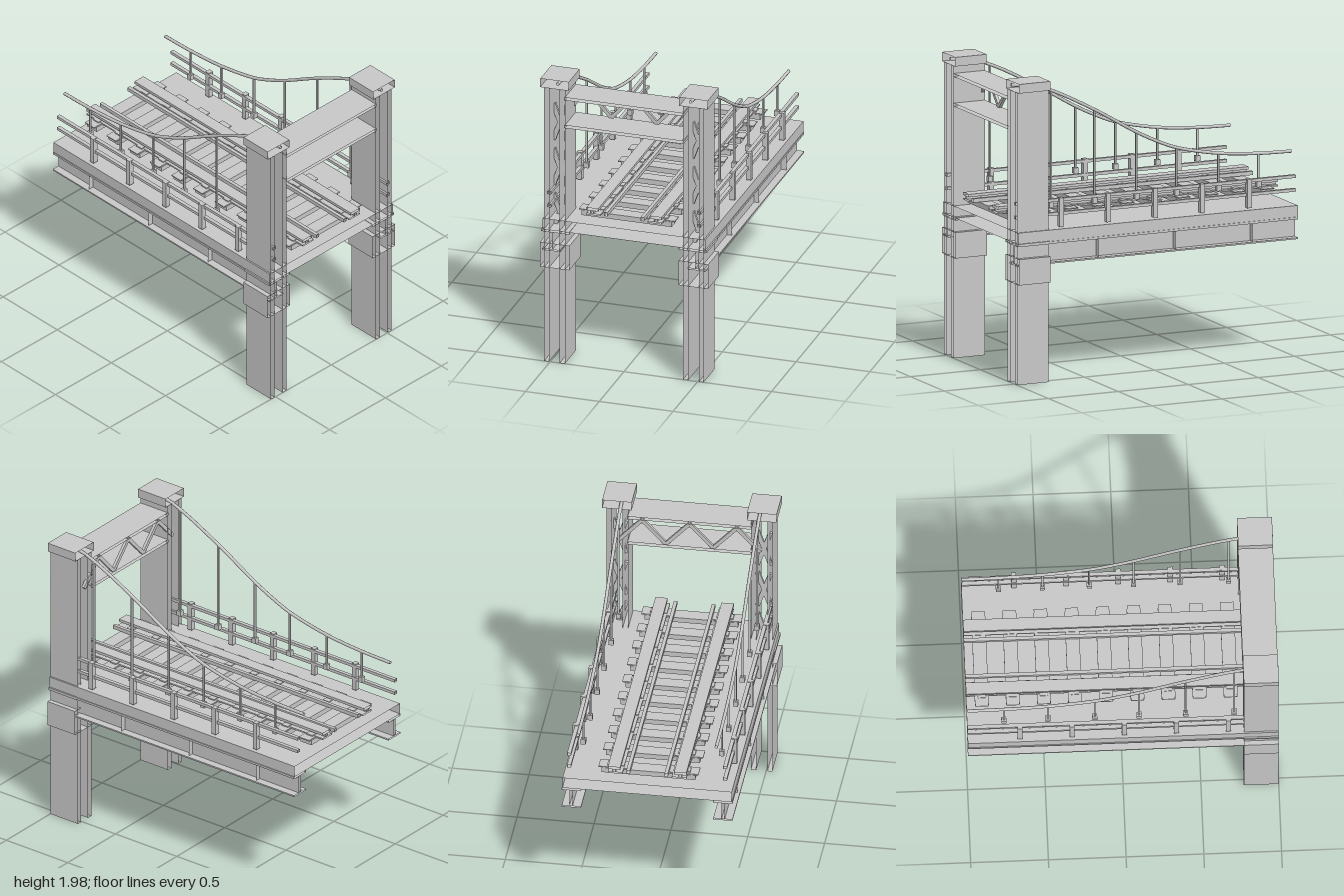
import * as THREE from 'three';

const steel = new THREE.MeshStandardMaterial({ color: 0xc6c6c6, side: THREE.DoubleSide });
steel.name = 'grey steel';

export function createModel() {
  const model = new THREE.Group();
  model.name = 'suspensionBridgeSection';

  const add = (geometry, name) => {
    const mesh = new THREE.Mesh(geometry, steel);
    mesh.name = name;
    model.add(mesh);
    return mesh;
  };
  // closed box, or a section with open x ends, given by its limits
  const box = (name, x0, x1, y0, y1, z0, z1, open = false) => {
    const g = new THREE.BoxGeometry(x1 - x0, y1 - y0, z1 - z0);
    if (open) {
      g.setIndex(Array.from(g.index.array).slice(12)); // drop the two x faces
      g.clearGroups();
    }
    g.translate((x0 + x1) / 2, (y0 + y1) / 2, (z0 + z1) / 2);
    return add(g, name);
  };
  // the same section on both sides of the bridge
  const pair = (name, x0, x1, y0, y1, z0, z1, open = false) => {
    box(name, x0, x1, y0, y1, z0, z1, open);
    box(name, x0, x1, y0, y1, -z1, -z0, open);
  };
  // thin upright plate across the bridge
  const crossPlate = (name, x, y0, y1, z0, z1) => {
    const m = add(new THREE.PlaneGeometry(z1 - z0, y1 - y0).rotateY(Math.PI / 2), name);
    m.position.set(x, (y0 + y1) / 2, (z0 + z1) / 2);
  };
  // flat bar between two (z, y) points in a cross plane
  const bar = (name, x, z0, y0, z1, y1, width) => {
    const dz = z1 - z0, dy = y1 - y0;
    const m = add(new THREE.BoxGeometry(0.02, Math.hypot(dz, dy), width), name);
    m.position.set(x, (y0 + y1) / 2, (z0 + z1) / 2);
    m.rotation.x = Math.atan2(dz, dy);
  };

  // deck and side girders
  box('deck', -1, 1, 0.925, 1.0, -0.55, 0.55, true);
  pair('girderTopFlange', -1, 1, 0.91, 0.925, 0.43, 0.555, true);
  pair('girderWeb', -1, 1, 0.79, 0.91, 0.485, 0.505, true);
  pair('girderBottomFlange', -1, 1, 0.78, 0.79, 0.43, 0.555, true);
  crossPlate('crossBeam', -0.68, 0.79, 0.91, -0.54, 0.54);
  for (const x of [-0.13, 0.42]) {
    crossPlate('girderStiffener', x, 0.79, 0.91, 0.505, 0.54);
    crossPlate('girderStiffener', x, 0.79, 0.91, -0.54, -0.505);
  }

  // towers
  const X0 = 0.775, X1 = 1, XM = 0.8875;
  pair('towerOuterSlab', X0, X1, 0, 1.92, 0.508, 0.54, true);
  pair('towerInnerSlab', X0, X1, 0, 1.92, 0.4, 0.435, true);
  pair('towerCap', X0, X1, 1.92, 1.98, 0.375, 0.567, true);
  pair('towerCollar', X0, X1, 0.66, 0.83, 0.37, 0.57, true);
  pair('towerDeckPlate', X0, X1, 0.91, 0.928, 0.37, 0.56, true);
  for (const side of [-1, 1]) {
    for (const y of [1.013, 1.326, 1.643]) {
      for (const lean of [-1, 1]) {
        bar('towerCrossBrace', XM, side * 0.47 - lean * 0.043, y - 0.125,
          side * 0.47 + lean * 0.043, y + 0.125, 0.03);
      }
    }
  }

  // portal beam between the towers with its zigzag lacing
  box('portalTopPlate', X0, X1, 1.85, 1.87, -0.405, 0.405, true);
  box('portalBottomPlate', X0, X1, 1.655, 1.675, -0.405, 0.405, true);
  for (let i = 0; i < 6; i++) {
    const low = i % 2 === 0;
    bar('portalLacing', X0 + 0.015, -0.462 + i * 0.154, low ? 1.678 : 1.846,
      -0.462 + (i + 1) * 0.154, low ? 1.846 : 1.678, 0.024);
  }

  // track
  for (let i = 0; i < 10; i++) {
    const x = -0.9 + i * 0.2;
    box('sleeper', x - 0.045, x + 0.045, 1.035, 1.07, -0.305, 0.305);
    pair('sleeperPlate', x - 0.042, x + 0.042, 1.07, 1.077, 0.135, 0.325);
    pair('railClip', x - 0.025, x + 0.025, 1.077, 1.085, 0.16, 0.27);
  }
  pair('railBase', -1, X1, 1.07, 1.08, 0.16, 0.255, true);
  pair('railWeb', -1, X1, 1.08, 1.1, 0.205, 0.225, true);
  pair('railHead', -1, X1, 1.1, 1.118, 0.175, 0.255, true);
  pair('guardRail', -1, X1, 1.075, 1.1, 0.112, 0.135, true);

  // railings
  for (let i = 0; i < 5; i++) {
    const x = -0.663 + i * 0.335;
    pair('railingPost', x - 0.016, x + 0.016, 1.01, 1.2, 0.5, 0.535);
  }
  pair('railingTop', -1, X1, 1.175, 1.195, 0.495, 0.52, true);
  pair('railingMiddle', -1, X1, 1.085, 1.105, 0.495, 0.52, true);

  // main cables with hangers
  const hangers = [[-0.765, 1.345], [-0.48, 1.372], [-0.18, 1.437], [0.105, 1.565], [0.405, 1.74], [0.715, 1.895]];
  const path = [[-1, 1.338], ...hangers, [0.85, 1.938], [1, 1.956]];
  path.splice(4, 0, [-0.04, 1.493]);
  for (const z of [-0.45, 0.45]) {
    const curve = new THREE.CatmullRomCurve3(path.map(([x, y]) => new THREE.Vector3(x, y, z)));
    add(new THREE.TubeGeometry(curve, 48, 0.011, 8, false), 'mainCable');
    for (const [x, y] of hangers) {
      box('hanger', x - 0.006, x + 0.006, 1.16, y, z - 0.006, z + 0.006);
      box('hangerSocket', x - 0.016, x + 0.016, 1.125, 1.162, z - 0.016, z + 0.016);
    }
  }
  return model;
}
